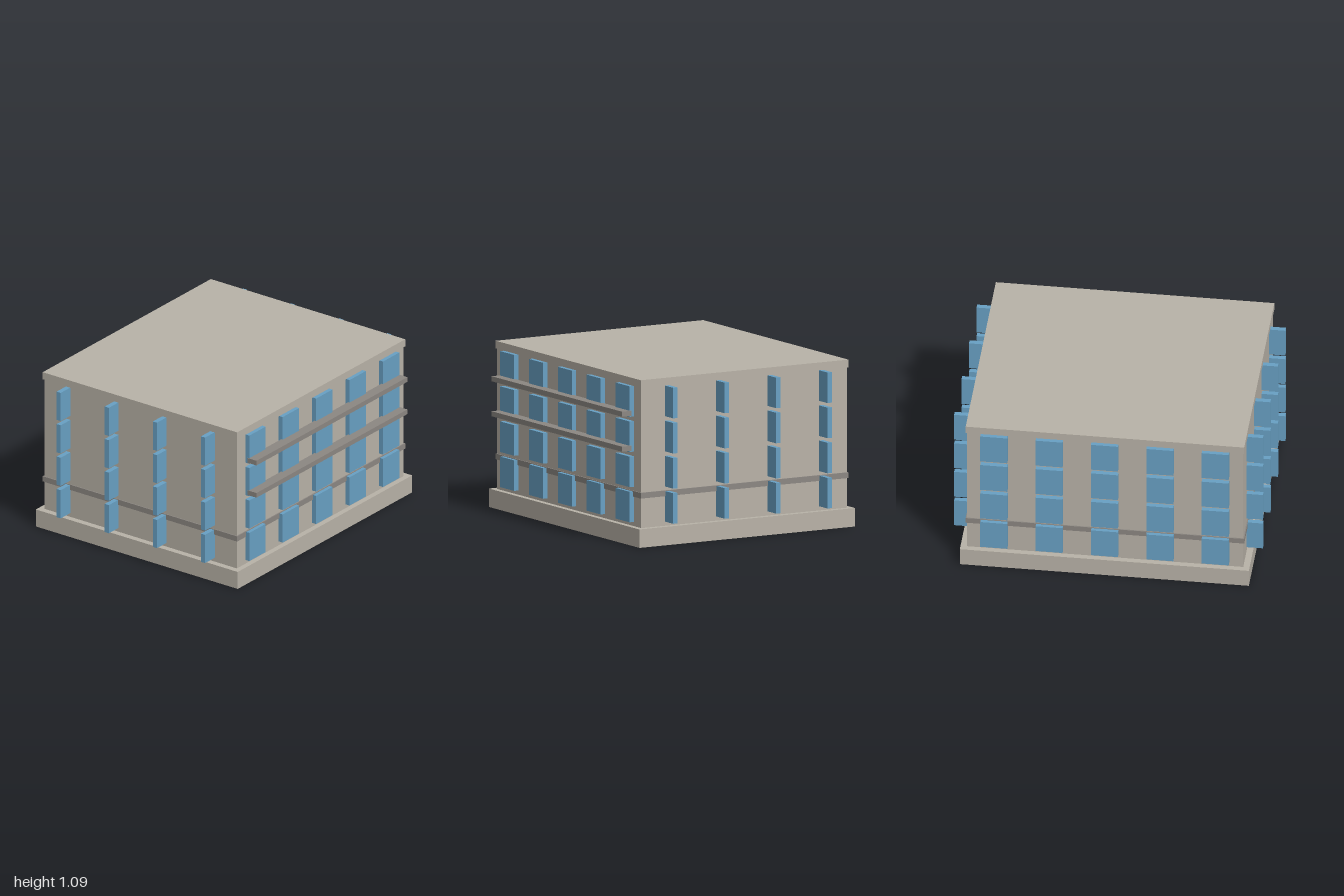
import * as THREE from 'three';

export function createModel() {
  const building = new THREE.Group();
  building.name = 'building';

  const material = (name, color) => {
    const m = new THREE.MeshStandardMaterial({ color });
    m.name = name;
    return m;
  };
  const stone = material('stone', 0xb8b2a7);
  const trim = material('dark trim', 0x8c8782);
  const glass = material('blue glass', 0x68a0c3);

  // Box given by its size and centre
  const box = (name, mat, [w, h, d], [x, y, z], parent = building) => {
    const mesh = new THREE.Mesh(new THREE.BoxGeometry(w, h, d), mat);
    mesh.name = name;
    mesh.position.set(x, y, z);
    parent.add(mesh);
  };

  // Main masses, all centred slightly behind the origin to leave room for balconies
  const cz = -0.028;
  box('plinth', stone, [1.872, 0.12, 1.62], [0, 0.06, cz]);
  box('walls', stone, [1.79, 0.92, 1.545], [0, 0.578, cz]);
  box('roofSlab', stone, [1.804, 0.05, 1.56], [0, 1.06, cz]);
  box('stringCourse', trim, [1.804, 0.037, 1.56], [0, 0.332, cz]);

  // Balcony ledges on the front
  for (const y of [0.63, 0.858]) {
    box('balconyLedge', trim, [1.62, 0.033, 0.073], [0, y, 0.8015]);
  }

  // Four storeys of windows
  const windows = new THREE.Group();
  windows.name = 'windows';
  building.add(windows);
  for (let floor = 0; floor < 4; floor++) {
    const y = 0.247 + floor * 0.229;

    // Flat panes on the front and back walls
    for (let i = -2; i <= 2; i++) {
      for (const side of [-1, 1]) {
        box(side > 0 ? 'frontWindow' : 'backWindow', glass,
          [0.175, 0.199, 0.033], [i * 0.3585, y, cz + side * 0.7885], windows);
      }
    }

    // Projecting fin windows on both side walls
    for (let i = 0; i < 4; i++) {
      for (const side of [-1, 1]) {
        box(side > 0 ? 'leftWindow' : 'rightWindow', glass,
          [0.175, 0.199, 0.033], [side * 0.9125, y, cz + (i - 1.5) * 0.386], windows);
      }
    }
  }
  return building;
}
